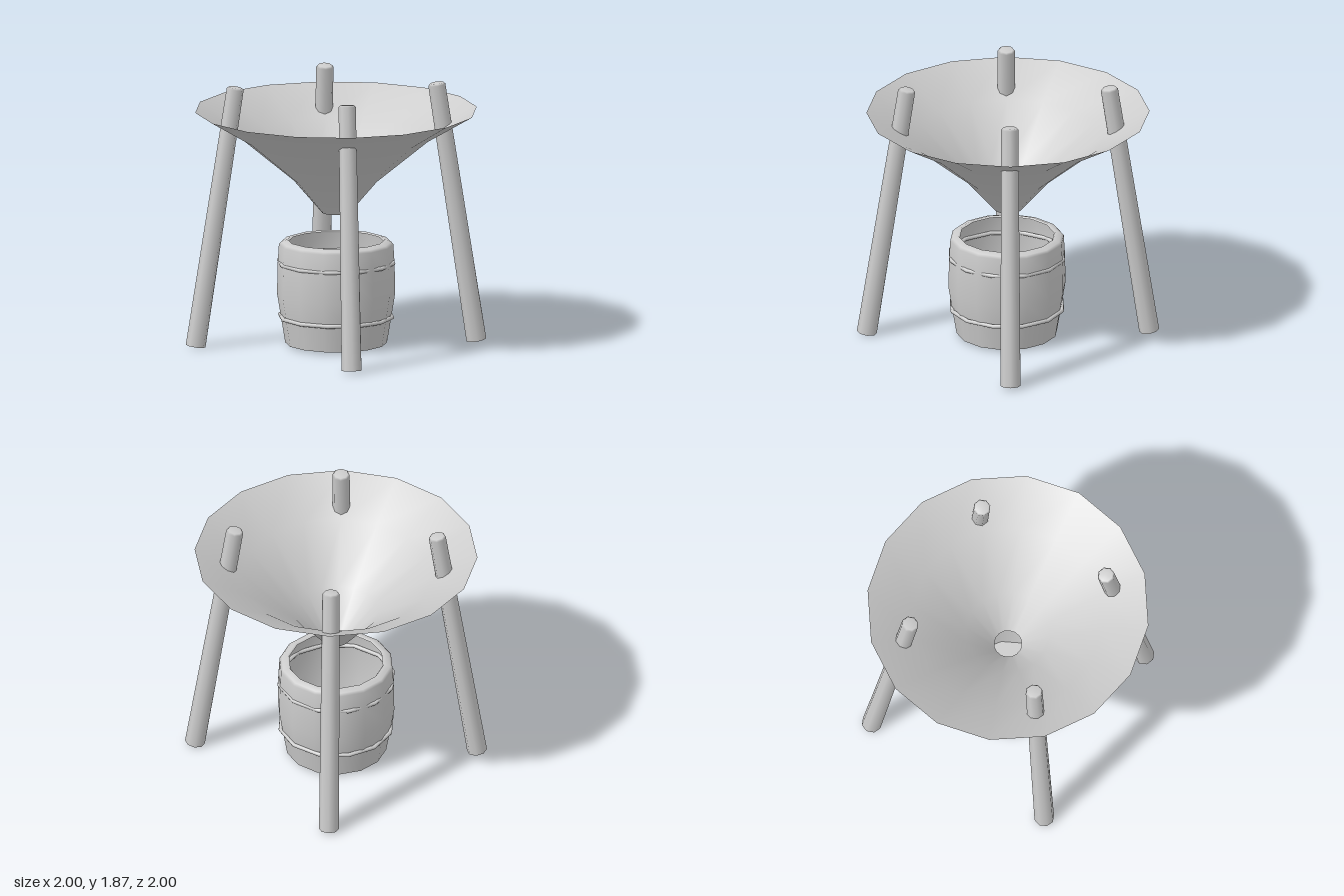
import * as THREE from 'three';

const grey = new THREE.MeshStandardMaterial({ color: 0xcccccc, side: THREE.DoubleSide });
grey.name = 'plain grey';

// Smooth surface of revolution from [radius, height] pairs
function turned(name, profile, sides, phiStart = 0) {
  const points = profile.map(([r, y]) => new THREE.Vector2(r, y));
  const mesh = new THREE.Mesh(new THREE.LatheGeometry(points, sides, phiStart), grey);
  mesh.name = name;
  return mesh;
}

// Leaning post, hollow at the foot and closed at the top
function createLeg(sx, sz) {
  const foot = new THREE.Vector3(0.705 * sx, 0.011, 0.705 * sz);
  const head = new THREE.Vector3(0.505 * sx, 1.867, 0.505 * sz);
  const axis = head.clone().sub(foot);
  const length = axis.length();
  const leg = turned('leg', [[0.071, 0], [0.061, length - 0.012], [0.05, length], [0, length]], 8);
  leg.position.copy(foot);
  leg.quaternion.setFromUnitVectors(new THREE.Vector3(0, 1, 0), axis.normalize());
  return leg;
}

function createBarrel() {
  const barrel = new THREE.Group();
  barrel.name = 'barrel';
  barrel.position.set(-0.005, 0, 0.005);

  // Thin staved wall with an inward curled rim
  barrel.add(turned('barrelWall', [
    [0.359, 0.015], [0.39, 0.2], [0.417, 0.37], [0.413, 0.58],
    [0.404, 0.725], [0.388, 0.742], [0.345, 0.757], [0.335, 0.745],
  ], 14, Math.PI / 2));

  // Floor
  const floor = new THREE.Mesh(new THREE.CircleGeometry(0.359, 14), grey);
  floor.name = 'barrelFloor';
  floor.rotation.x = Math.PI / 2;
  floor.position.y = 0.015;
  barrel.add(floor);

  // Hoops
  for (const [radius, y] of [[0.4, 0.208], [0.408, 0.597]]) {
    const hoop = new THREE.Mesh(new THREE.TorusGeometry(radius, 0.015, 8, 12), grey);
    hoop.name = 'hoop';
    hoop.rotation.x = Math.PI / 2;
    hoop.position.y = y;
    barrel.add(hoop);
  }
  return barrel;
}

export function createModel() {
  const model = new THREE.Group();
  model.name = 'rainCollector';

  // Open funnel above the barrel
  model.add(turned('funnel', [[0.098, 0.95], [0.3, 1.187], [0.675, 1.497], [1, 1.69]], 16));

  for (const sx of [-1, 1]) for (const sz of [-1, 1]) model.add(createLeg(sx, sz));
  model.add(createBarrel());
  return model;
}
